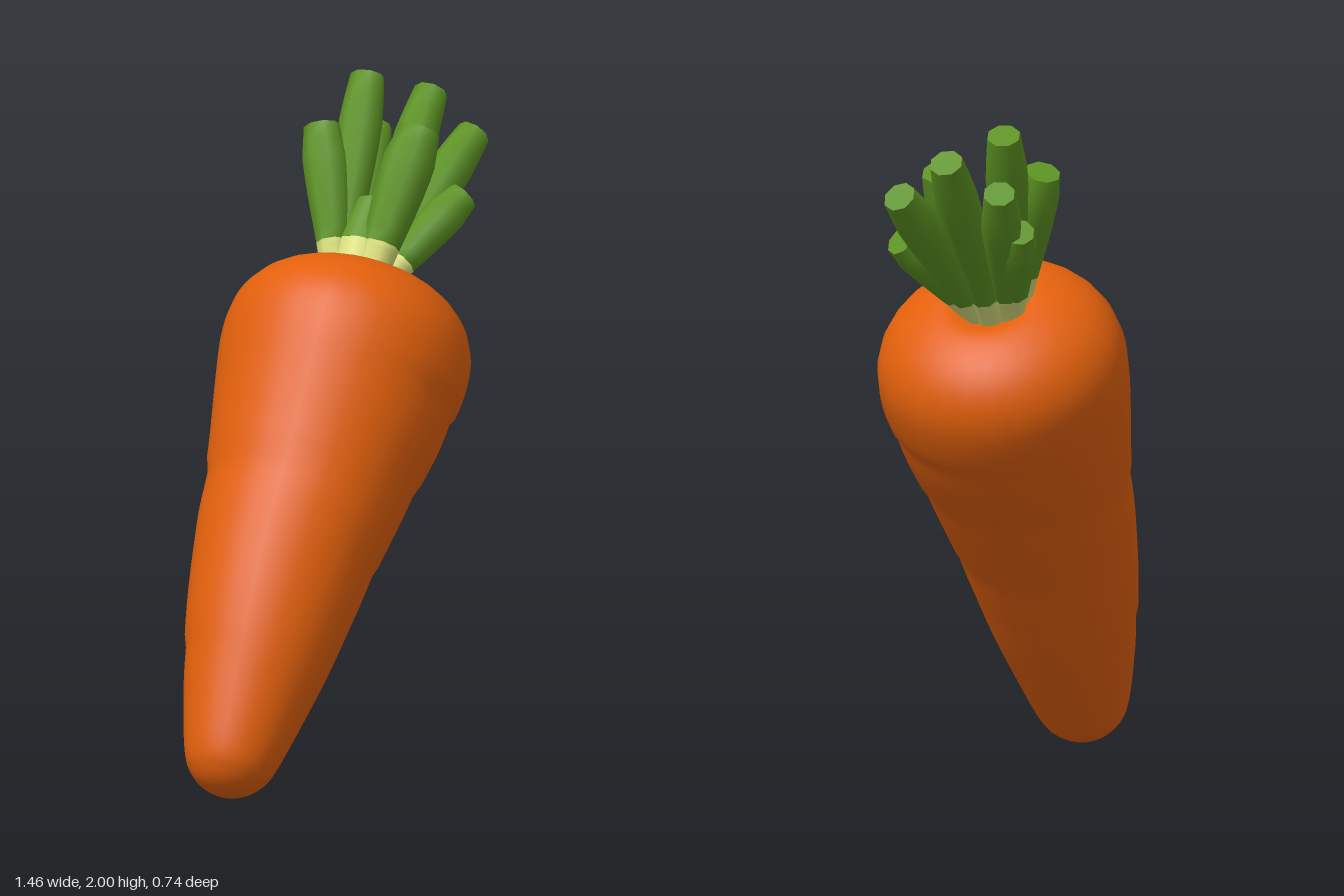
import * as THREE from 'three';
import { mergeVertices, toCreasedNormals } from 'three/addons/utils/BufferGeometryUtils.js';

const orange = new THREE.MeshStandardMaterial({ name: 'carrot orange', color: 0xe2600c });
const green = new THREE.MeshStandardMaterial({ name: 'stalk green', color: 0x5c9222 });
const pale = new THREE.MeshStandardMaterial({ name: 'pale stalk base', color: 0xd8de7c });

// Root frame: Y runs from the tip to the crown
const tip = new THREE.Vector3(-0.63, 0, 0.195);
const axis = new THREE.Vector3(0.51, 0.851, -0.142).normalize();
const side = new THREE.Vector3(0.858, -0.514, 0).normalize();
const depth = new THREE.Vector3().crossVectors(side, axis).normalize();
const rootFrame = new THREE.Matrix4().makeBasis(side, axis, depth).setPosition(tip);
const crown = new THREE.Vector3(0.198, 1.395, -0.047);

function weld(geometry) {
  geometry.deleteAttribute('uv');
  geometry.deleteAttribute('normal');
  return mergeVertices(geometry, 1e-4);
}

// Turned root with a slight bend and partial growth creases
function makeRoot() {
  const profile = new THREE.SplineCurve([
    [0, 0.002], [0.05, 0.008], [0.1, 0.042], [0.138, 0.11], [0.188, 0.31],
    [0.228, 0.5], [0.27, 0.78], [0.305, 1.02], [0.347, 1.25], [0.367, 1.4],
    [0.358, 1.51], [0.312, 1.595], [0.235, 1.655], [0.14, 1.685], [0.07, 1.665], [0, 1.65],
  ].map(([r, t]) => new THREE.Vector2(r, t)));
  const points = profile.getPoints(75);
  points.forEach(p => { p.x = Math.max(p.x, 0); });
  points[0].x = points[75].x = 0;
  const geometry = weld(new THREE.LatheGeometry(points, 28));
  // Each crease: height along the root, angle of its deepest point
  const creases = [[0.45, 3.6], [0.81, 1.2], [0.98, 4.2], [1.1, 1.5], [1.33, 0.9]];
  const pos = geometry.attributes.position;
  for (let i = 0; i < pos.count; i++) {
    const x = pos.getX(i), t = pos.getY(i), z = pos.getZ(i);
    const angle = Math.atan2(x, z);
    let scale = 1;
    for (const [at, centre] of creases) {
      const below = at - t;
      if (below > 0 && below < 0.13) {
        scale -= 0.032 * Math.max(0, Math.cos(angle - centre)) * (1 - below / 0.13);
      }
    }
    const bend = -0.035 + 0.05 * THREE.MathUtils.smoothstep(t, 0.55, 1.4);
    pos.setXYZ(i, x * scale + bend, t, z * scale);
  }
  geometry.applyMatrix4(rootFrame);
  geometry.computeVertexNormals();
  const mesh = new THREE.Mesh(geometry, orange);
  mesh.name = 'root';
  return mesh;
}

// Stalk radius: swells towards the top, then narrows at the cut end
function stalkRadius(t) {
  return 0.04 + 0.024 * THREE.MathUtils.smoothstep(t, 0, 0.8)
    - 0.014 * THREE.MathUtils.smoothstep(t, 0.82, 1);
}

// One section of a stalk, swept along its curve between two fractions
function stalkSection(curve, from, to, open, girth, material, name) {
  const geometry = weld(new THREE.CylinderGeometry(1, 1, 1, 8, 8, open));
  const pos = geometry.attributes.position;
  for (let i = 0; i < pos.count; i++) {
    const t = THREE.MathUtils.lerp(from, to, pos.getY(i) + 0.5);
    const up = curve.getTangent(t);
    const right = new THREE.Vector3().crossVectors(up, depth).normalize();
    const back = new THREE.Vector3().crossVectors(right, up);
    const radius = girth * stalkRadius(t);
    const p = curve.getPoint(t)
      .addScaledVector(right, pos.getX(i) * radius)
      .addScaledVector(back, pos.getZ(i) * radius);
    pos.setXYZ(i, p.x, p.y, p.z);
  }
  const mesh = new THREE.Mesh(toCreasedNormals(geometry, 0.95), material);
  mesh.name = name;
  return mesh;
}

// Stalk growing out of the crown, pale near the root
function makeStalk(end, girth) {
  const out = end.clone().sub(crown);
  out.addScaledVector(axis, -out.dot(axis));
  const base = crown.clone().addScaledVector(out.normalize(), 0.06);
  const middle = base.clone().lerp(end, 0.4).addScaledVector(axis, 0.025);
  const curve = new THREE.QuadraticBezierCurve3(base, middle, end);
  const split = 0.135 / curve.getLength();
  const stalk = new THREE.Group();
  stalk.name = 'stalk';
  stalk.add(stalkSection(curve, 0, split, true, girth, pale, 'stalkBase'));
  stalk.add(stalkSection(curve, split, 1, false, girth, green, 'stalkTop'));
  return stalk;
}

// Core filling the gap between the stalks
function makeCore(topRadius, bottomRadius, from, to, material, name) {
  const core = new THREE.Mesh(new THREE.CylinderGeometry(topRadius, bottomRadius, to - from, 10), material);
  core.name = name;
  core.position.copy(crown).addScaledVector(axis, (from + to) / 2);
  core.quaternion.setFromUnitVectors(new THREE.Vector3(0, 1, 0), axis);
  return core;
}

export function createModel() {
  const model = new THREE.Group();
  model.name = 'carrot';
  model.add(makeRoot());
  // Cut end of each stalk, then its girth
  const ends = [
    [0.48, 1.97, -0.25, 1], [0.68, 1.91, -0.18, 1], [0.7, 1.8, -0.03, 1], [0.3, 1.84, -0.27, 1.05],
    [0.55, 1.81, -0.28, 0.95], [0.43, 1.68, -0.27, 0.95], [0.54, 1.64, 0.07, 0.95], [0.43, 1.84, 0, 1.2],
  ];
  const stalks = new THREE.Group();
  stalks.name = 'stalks';
  ends.forEach(([x, y, z, girth]) => stalks.add(makeStalk(new THREE.Vector3(x, y, z), girth)));
  stalks.add(makeCore(0.085, 0.085, -0.02, 0.13, pale, 'coreBase'));
  stalks.add(makeCore(0.06, 0.086, 0.13, 0.27, green, 'coreTop'));
  model.add(stalks);
  return model;
}
